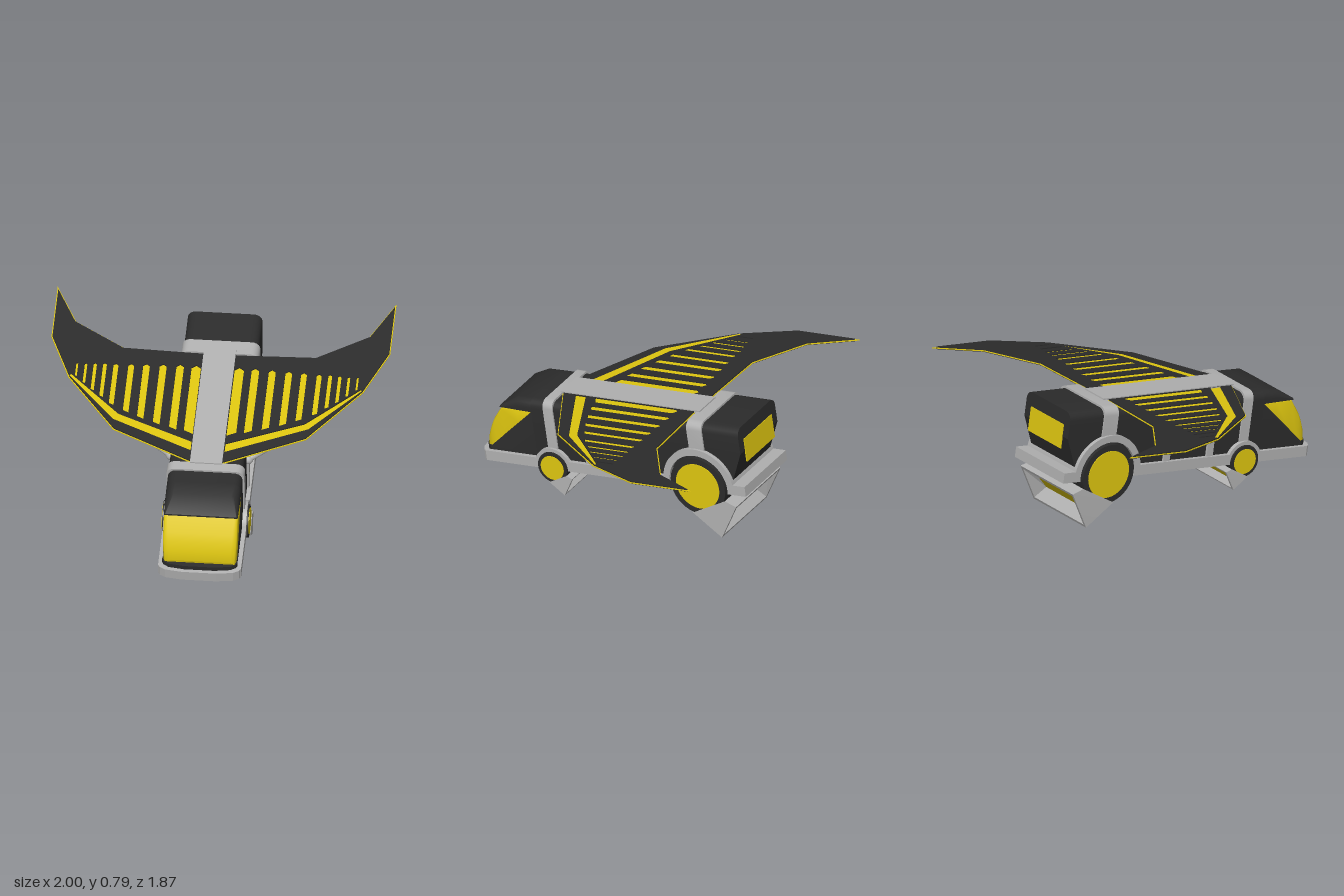
import * as THREE from 'three';
import { toCreasedNormals } from 'three/addons/utils/BufferGeometryUtils.js';

const mat = (name, color, side = THREE.FrontSide) =>
  Object.assign(new THREE.MeshStandardMaterial({ color, side }), { name });

export function createModel() {
  const dark = mat('charcoal', 0x2c2c2c);
  const yellow = mat('yellow', 0xe0c810, THREE.DoubleSide);
  const grey = mat('light grey', 0xb2b2b2, THREE.DoubleSide);
  const model = new THREE.Group();
  model.name = 'wingedVan';
  const hull = new THREE.Group();
  hull.name = 'hull';
  model.add(hull);

  const add = (name, geometry, material) => {
    const mesh = new THREE.Mesh(geometry, material);
    mesh.name = name;
    hull.add(mesh);
    return mesh;
  };
  const box = (name, material, w, h, d, x, y, z) =>
    add(name, new THREE.BoxGeometry(w, h, d).translate(x, y, z), material);

  // Skin through closed rings of equal length, with optional end caps
  function skin(rings, caps = true, crease = 0.6) {
    const out = [], n = rings[0].length;
    const tri = (...p) => p.forEach(v => out.push(...v));
    for (let i = 0; i < rings.length - 1; i++) {
      for (let j = 0; j < n; j++) {
        const k = (j + 1) % n, p = rings[i], q = rings[i + 1];
        tri(p[j], p[k], q[k]);
        tri(p[j], q[k], q[j]);
      }
    }
    const cap = (r, flip) => {
      const c = [0, 1, 2].map(a => r.reduce((s, p) => s + p[a], 0) / n);
      r.forEach((p, j) => flip ? tri(c, r[(j + 1) % n], p) : tri(c, p, r[(j + 1) % n]));
    };
    if (caps) { cap(rings[0], true); cap(rings[rings.length - 1], false); }
    const g = new THREE.BufferGeometry();
    g.setAttribute('position', new THREE.Float32BufferAttribute(out, 3));
    g.computeVertexNormals();
    return toCreasedNormals(g, crease);
  }

  // Round-topped sections: [z, bottom, top, halfWidth, radius, bulge]
  const loft = stations => skin(stations.map(([z, b, t, w, r = 0.05, bulge = 0]) => {
    r = Math.min(r, (t - b) * 0.9);
    const pts = [[w, b]];
    for (let i = 0; i <= 12; i++) {
      const s = i < 6 ? 1 : -1, a = (i < 6 ? i / 5 : (i - 6) / 6 + 1) * Math.PI / 2;
      pts.push([s * (w - r) + r * Math.cos(a), t - r + r * Math.sin(a)]);
    }
    pts.push([-w, b]);
    return pts.map(([x, y]) => [x, y, z - bulge * x * x]);
  }));

  // Side profile (z, y) extruded across the width
  const slab = (shape, w) => toCreasedNormals(
    new THREE.ExtrudeGeometry(shape, { depth: 2 * w, bevelEnabled: false, curveSegments: 28 })
      .translate(0, 0, -w).rotateY(-Math.PI / 2), 0.5);
  // Plan outline (x, z) extruded upward from y
  const plate = (pts, y, h, holes = []) => {
    const flat = p => p.map(([x, z]) => new THREE.Vector2(x, -z));
    const shape = new THREE.Shape(flat(pts));
    shape.holes = holes.map(p => new THREE.Path(flat(p)));
    return new THREE.ExtrudeGeometry(shape, { depth: h, bevelEnabled: false })
      .rotateX(-Math.PI / 2).translate(0, y, 0);
  };

  const rear = { z: -0.593, y: 0.244 }, front = { z: 0.405, y: 0.228 };
  // Arc over a wheel between the points where it meets height y
  const arch = (path, c, r, y, clockwise) => {
    const a = Math.asin((y - c.y) / r);
    const [from, to] = clockwise ? [Math.PI - a, a] : [a, Math.PI - a];
    path.absarc(c.z, c.y, r, from, to, clockwise);
  };

  // Chassis rail with the wheel arches
  const rail = new THREE.Shape();
  rail.moveTo(-0.912, 0.213);
  rail.lineTo(-0.912, 0.277);
  arch(rail, rear, 0.238, 0.277, true);
  arch(rail, front, 0.122, 0.277, true);
  rail.lineTo(0.86, 0.277);
  rail.lineTo(0.86, 0.213);
  arch(rail, front, 0.1, 0.213, false);
  arch(rail, rear, 0.196, 0.213, false);
  add('chassis', slab(rail, 0.245), grey);
  const nose = k => [[0.245, 0.855], [0.235, 0.875], [0.2, 0.895], [0.1, 0.908],
    [-0.1, 0.908], [-0.2, 0.895], [-0.235, 0.875], [-0.245, 0.855]].map(([x, z]) => [x * k, z - (1 - k) * 0.25]);
  add('bumper', plate(nose(1), 0.213, 0.064), grey);
  add('windscreenSill', plate([...nose(0.91), [-0.2, 0.7], [0.2, 0.7]], 0.272, 0.032), dark);

  // Body: cut lower half, rounded upper half, nose sides and roof visor
  const lower = new THREE.Shape();
  lower.moveTo(-0.9, 0.27);
  arch(lower, rear, 0.22, 0.27, true);
  arch(lower, front, 0.11, 0.27, true);
  [[0.52, 0.27], [0.52, 0.48], [-0.9, 0.48]].forEach(p => lower.lineTo(...p));
  add('lowerBody', slab(lower, 0.22), dark);
  add('upperBody', loft([[-0.9, 0.48, 0.64, 0.22], [0.52, 0.48, 0.64, 0.22]]), dark);
  add('noseSides', loft([[0.52, 0.272, 0.565, 0.22, 0.002], [0.82, 0.272, 0.31, 0.22, 0.002]]), dark);
  add('roofVisor', loft([[0.52, 0.563, 0.64, 0.22], [0.62, 0.566, 0.638, 0.22],
    [0.735, 0.568, 0.578, 0.218]]), dark);

  // Wraparound windscreen
  add('windscreen', loft([[0.52, 0.56, 0.566, 0.219, 0.01], [0.62, 0.48, 0.571, 0.219, 0.01],
    [0.723, 0.393, 0.574, 0.219, 0.02], [0.796, 0.33, 0.484, 0.219, 0.03, 0.1],
    [0.825, 0.305, 0.437, 0.217, 0.03, 0.2], [0.853, 0.3, 0.381, 0.212, 0.03, 0.3],
    [0.87, 0.3, 0.318, 0.205, 0.02, 0.4]]), yellow);
  box('rearWindow', yellow, 0.33, 0.15, 0.006, 0, 0.48, -0.901);

  // Hoops around the body and the spine between them
  add('frontHoop', loft([[0.365, 0.3, 0.652, 0.23], [0.43, 0.3, 0.652, 0.23]]), grey);
  add('rearHoop', loft([[-0.655, 0.45, 0.652, 0.23], [-0.553, 0.45, 0.652, 0.23]]), grey);
  box('spine', grey, 0.19, 0.03, 0.95, 0, 0.645, -0.1);

  // Wheels with an open exhaust scoop behind each
  function wheel(label, c, k) {
    const disc = (name, r, w, m) =>
      add(label + name, new THREE.CylinderGeometry(r, r, w, 40).rotateZ(Math.PI / 2).translate(0, c.y, c.z), m);
    disc('Wheel', 0.184 * k, 0.508, dark);
    disc('WheelCaps', 0.146 * k, 0.516, yellow);
    // Scoop side corners relative to the wheel
    const A = [0.057, -0.178], B = [-0.177, -0.072], C = [-0.253, -0.099], D = [-0.124, -0.317];
    const mix = (p, q, t) => [p[0] + (q[0] - p[0]) * t, p[1] + (q[1] - p[1]) * t];
    const ring = (lo, hi, inset, w) => {
      const p = mix(lo, hi, inset), q = mix(hi, lo, inset);
      return [[w, p], [w, q], [-w, q], [-w, p]].map(([x, [z, y]]) => [x, c.y + y * k, c.z + z * k]);
    };
    const lip = ring(D, C, 0.07, 0.248);
    const back = ring(mix(A, D, 0.6), mix(B, C, 0.6), 0.17, 0.215);
    add(label + 'Scoop', skin([ring(A, B, 0, 0.261), ring(D, C, 0, 0.265), lip, back].map(r => r.reverse()),
      false, 0.2), grey);
    add(label + 'ScoopGlow', skin([back, back.map(p => [p[0], p[1] + 0.003, p[2]])]), yellow);
  }
  wheel('rear', rear, 1);
  wheel('front', front, 0.53);

  // Wing outline (x, z) and its evenly inset copy
  const outline = [[0.08, 0.37], [0.57, 0.124], [0.87, -0.29], [1, -0.62], [1, -1.038],
    [0.866, -0.755], [0.567, -0.558], [0.08, -0.543]];
  const inset = (pts, d) => pts.map((p, i) => {
    const normal = (a, b) => {
      const l = Math.hypot(b[0] - a[0], b[1] - a[1]);
      return [-(b[1] - a[1]) / l, (b[0] - a[0]) / l];
    };
    const n = pts.length, m = normal(pts[(i + n - 1) % n], p), q = normal(p, pts[(i + 1) % n]);
    const f = d / (1 + m[0] * q[0] + m[1] * q[1]);
    return [p[0] - (m[0] + q[0]) * f, p[1] - (m[1] + q[1]) * f];
  });
  // Slots: [centre x, width, rear z, front z], plus the chevron stripe
  const slots = [[0.127, 0.056, -0.44, 0.12], [0.222, 0.045, -0.44, 0.095], [0.322, 0.042, -0.435, 0.06],
    [0.42, 0.04, -0.43, 0.02], [0.51, 0.035, -0.425, -0.025], [0.6, 0.03, -0.42, -0.08],
    [0.665, 0.023, -0.42, -0.14], [0.722, 0.02, -0.415, -0.19], [0.776, 0.016, -0.41, -0.245],
    [0.828, 0.012, -0.41, -0.3]].map(([x, w, z0, z1]) => {
    const h = w / 2;
    return [[x - h, z0 + w * 0.4], [x, z0], [x + h, z0 + w * 0.4], [x + h, z1 - h * 0.5], [x - h, z1 + h * 0.5]];
  });
  slots.push([[0.1, 0.27], [0.575, 0.045], [0.865, -0.3], [0.855, -0.31], [0.55, 0.0], [0.1, 0.2]]);

  for (const s of [1, -1]) {
    const side = s > 0 ? 'left' : 'right';
    const flip = pts => pts.map(([x, z]) => [s * x, z]);
    const inner = flip(inset(outline, 0.006));
    add(side + 'WingTop', plate(inner, 0.647, 0.007, slots.map(flip)), dark);
    add(side + 'WingTrim', plate(flip(outline), 0.642, 0.005), yellow);
    add(side + 'WingUnderside', plate(inner, 0.637, 0.005), dark);

    // Struts from the body side out to the wing
    [[0.155, 0.49, 0.49, 0.05], [-0.16, 0.475, 0.79, -0.395]].forEach(([z, y, tipX, tipZ], i) => {
      const label = side + (i ? 'Rear' : 'Front');
      box(label + 'Strap', grey, 0.022, y - 0.27, 0.045, s * 0.224, (y + 0.27) / 2, z);
      add(label + 'Joint', new THREE.SphereGeometry(0.03, 20, 14).translate(s * 0.228, y, z), grey);
      const path = new THREE.LineCurve3(new THREE.Vector3(s * 0.228, y, z), new THREE.Vector3(s * tipX, 0.628, tipZ));
      add(label + 'Strut', new THREE.TubeGeometry(path, 1, 0.02, 16), grey);
      add(label + 'StrutFoot', new THREE.CylinderGeometry(0.03, 0.026, 0.022, 20).translate(s * tipX, 0.628, tipZ), grey);
    });
  }

  // Nose-down stance
  hull.rotation.x = 0.15;
  hull.position.y = -0.007;
  return model;
}
